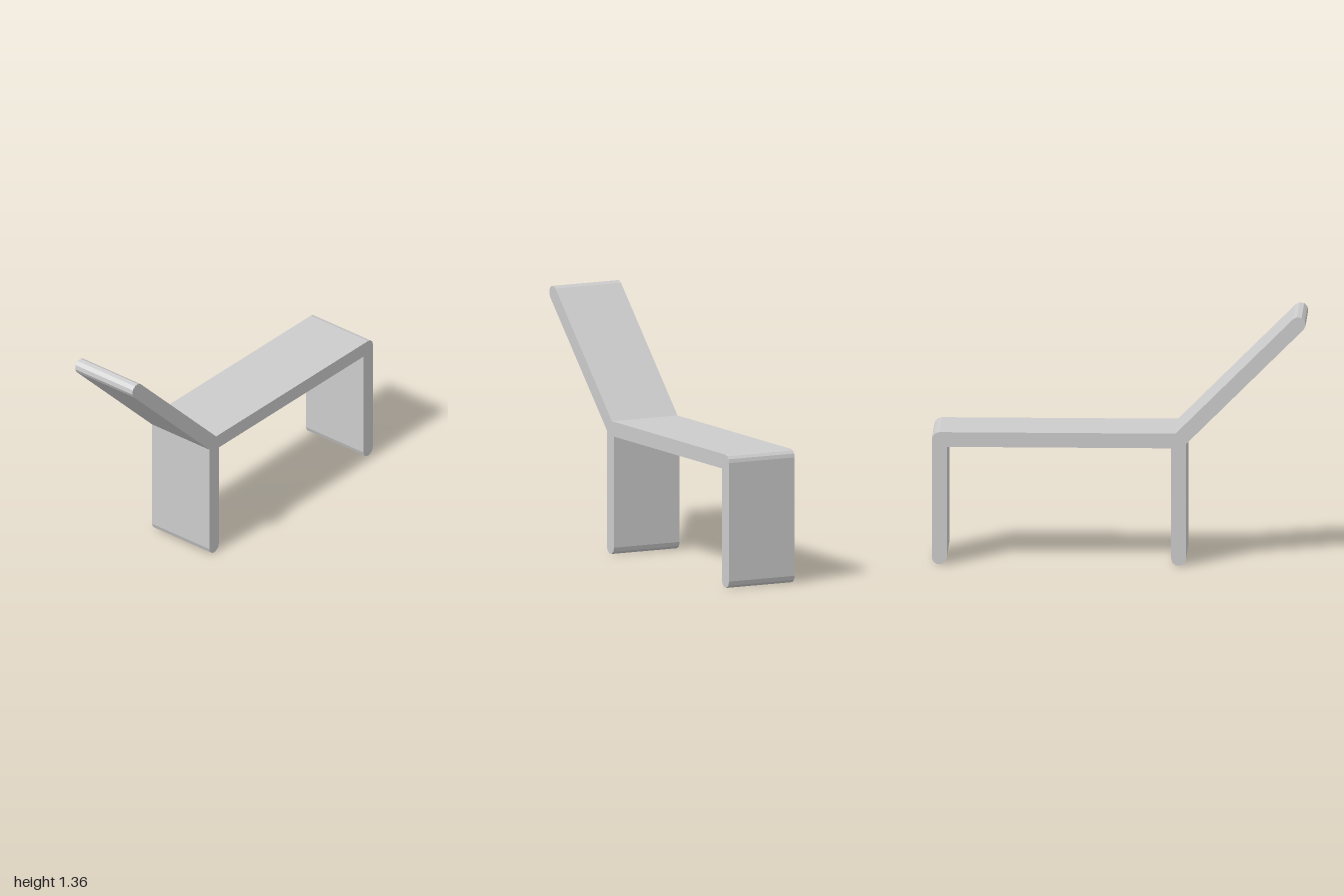
import * as THREE from 'three';

const R = 0.04;      // half the slab thickness
const DEPTH = 0.4;   // slab width along z

// Points of a faceted arc, angles in degrees
function arc(cx, cy, from, to, steps) {
  const points = [];
  for (let i = 0; i <= steps; i++) {
    const a = THREE.MathUtils.degToRad(from + (to - from) * i / steps);
    points.push([cx + R * Math.cos(a), cy + R * Math.sin(a)]);
  }
  return points;
}

export function createModel() {
  const group = new THREE.Group();
  const grey = new THREE.MeshStandardMaterial({ color: 0xcccccc });
  grey.name = 'light grey';

  // Extrudes a side profile across the full width
  function slab(name, points) {
    const shape = new THREE.Shape(points.map(([x, y]) => new THREE.Vector2(x, y)));
    const geometry = new THREE.ExtrudeGeometry(shape, { depth: DEPTH, bevelEnabled: false });
    geometry.translate(0, 0, -DEPTH / 2);
    const mesh = new THREE.Mesh(geometry, grey);
    mesh.name = name;
    group.add(mesh);
  }

  // Mitred joint where seat, backrest and rear leg meet
  const m = R * Math.tan(Math.PI / 8);
  const joint = [-0.32, 0.68];
  const seatCorner = [-0.32 + m, 0.72];
  const underCorner = [-0.28, 0.64];
  const rearCorner = [-0.36, 0.68 - m];

  // Reclined backrest with a rounded top edge
  slab('backrest', [joint, seatCorner, ...arc(-0.9605, 1.3205, 45, 225, 5), rearCorner]);

  // Flat seat
  slab('seat', [joint, underCorner, [0.92, 0.64], [0.92, 0.72], seatCorner]);

  // Leg under the backrest joint, with a rounded foot
  slab('backrestLeg', [joint, rearCorner, ...arc(-0.32, 0.038, 180, 360, 5), underCorner]);

  // Leg at the foot end, including the rounded seat corner
  slab('footEndLeg', [
    ...arc(0.96, 0.038, 180, 360, 5),
    ...arc(0.96, 0.68, 0, 90, 3),
    [0.92, 0.72],
  ]);

  return group;
}
